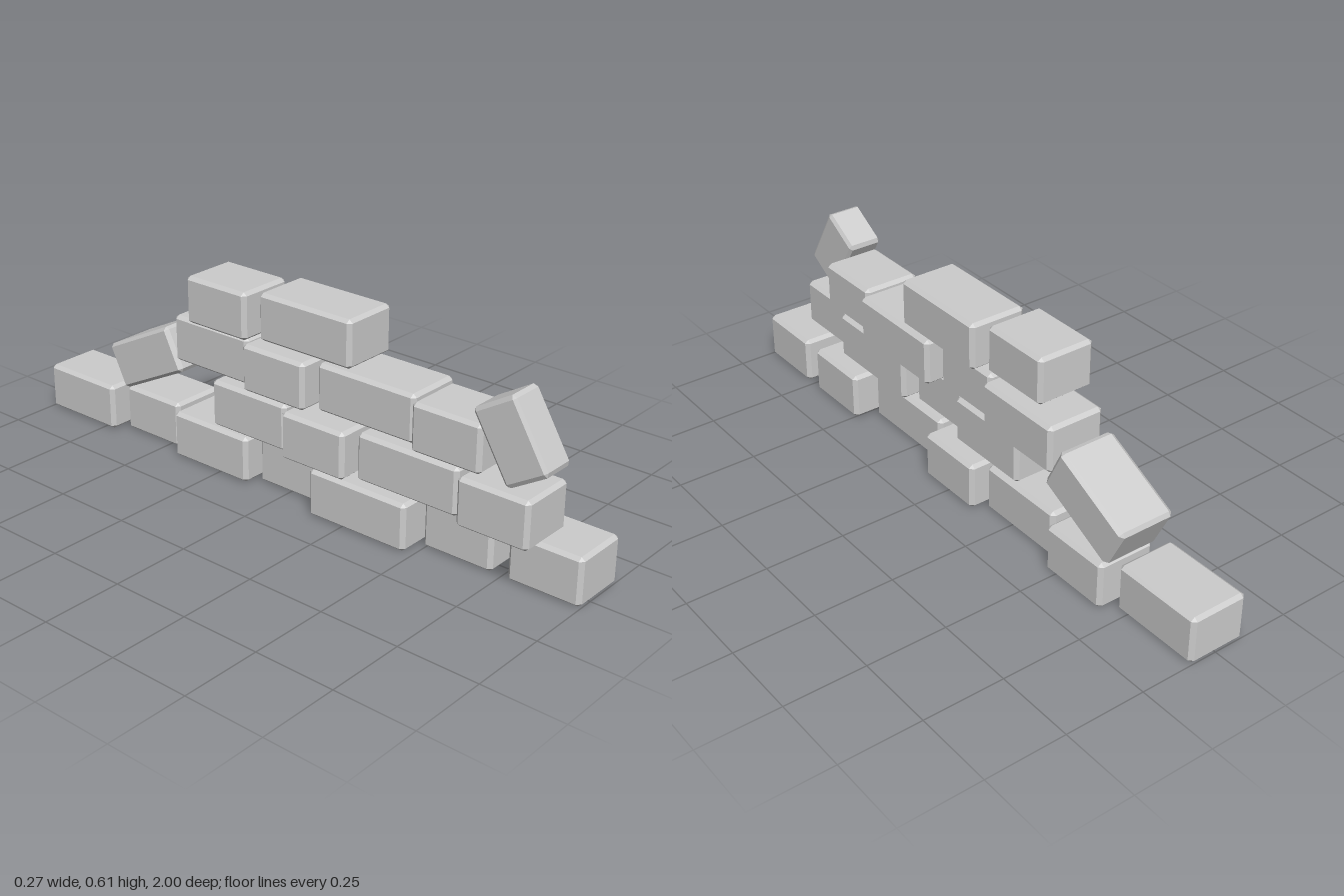
import * as THREE from 'three';
import { ConvexGeometry } from 'three/addons/geometries/ConvexGeometry.js';

const material = new THREE.MeshStandardMaterial({ color: 0xcccccc, flatShading: true });

// Box with flat chamfers along all edges and cut corners
function brickGeometry(w, h, d) {
  const cx = w * 0.067, cy = 0.01, cz = 0.012;
  const points = [];
  for (const sx of [-1, 1]) for (const sy of [-1, 1]) for (const sz of [-1, 1]) {
    const x = w / 2, y = h / 2, z = d / 2;
    points.push(
      new THREE.Vector3(sx * x, sy * (y - cy), sz * (z - cz)),
      new THREE.Vector3(sx * (x - cx), sy * y, sz * (z - cz)),
      new THREE.Vector3(sx * (x - cx), sy * (y - cy), sz * z));
  }
  return new ConvexGeometry(points);
}

function brick(name, size, position, tilt = 0) {
  const mesh = new THREE.Mesh(brickGeometry(...size), material);
  mesh.name = name;
  mesh.position.set(...position);
  mesh.rotation.x = tilt;
  return mesh;
}

const W = 0.186, H = 0.147;

// Courses from the ground up; each brick is [front z, back z, centre x]
const courses = [
  { y: 0.0735, bricks: [[1, 0.77, 0.039], [0.72, 0.49, 0.039], [0.475, 0.13, -0.03], [0.11, -0.12, 0.039],
    [-0.135, -0.435, -0.005], [-0.46, -0.69, 0.039], [-0.71, -1, -0.005]] },
  { y: 0.228, bricks: [[0.88, 0.65, -0.042], [0.63, 0.285, -0.006], [0.265, 0.035, -0.042], [0.02, -0.27, -0.006]] },
  { y: 0.377, bricks: [[0.7, 0.47, -0.008], [0.455, 0.11, 0.028], [0.09, -0.145, -0.008], [-0.155, -0.455, 0.028]] },
  { y: 0.533, bricks: [[0.23, -0.11, 0.028], [-0.13, -0.365, -0.008]] },
];

export function createModel() {
  const model = new THREE.Group();
  model.name = 'ruinedBrickWall';

  // Laid bricks
  courses.forEach(({ y, bricks }, i) => {
    const course = new THREE.Group();
    course.name = `course${i + 1}`;
    bricks.forEach(([front, back, x], j) => {
      course.add(brick(`brick${j + 1}`, [W, H, front - back], [x, y, (front + back) / 2]));
    });
    model.add(course);
  });

  // Loose bricks leaning at both ends
  model.add(brick('looseFrontBrick', [0.11, H, 0.23], [-0.045, 0.43, 0.788], 1.03));
  model.add(brick('looseBackBrick', [0.183, H, 0.29], [0.027, 0.27, -0.59], -0.46));
  return model;
}
